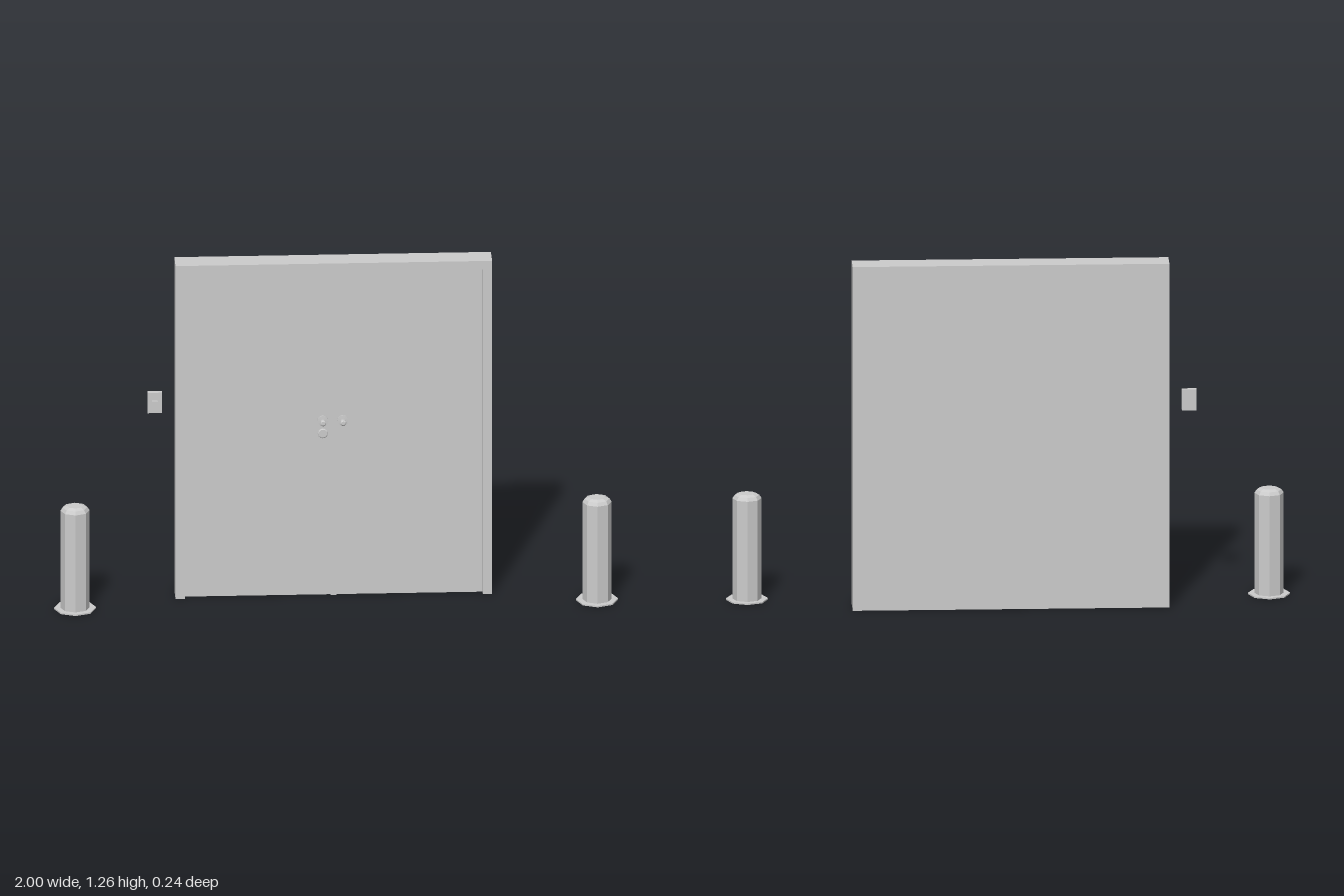
import * as THREE from 'three';

export function createModel() {
  const model = new THREE.Group();
  const mat = new THREE.MeshStandardMaterial({ color: 0xcccccc });
  const flat = new THREE.MeshStandardMaterial({ color: 0xcccccc, flatShading: true });

  const add = (parent, name, geo, x = 0, y = 0, z = 0, material = mat) => {
    const mesh = new THREE.Mesh(geo, material);
    mesh.name = name;
    mesh.position.set(x, y, z);
    parent.add(mesh);
    return mesh;
  };
  // Box given by its limits on each axis
  const box = (parent, name, x0, x1, y0, y1, z0, z1) =>
    add(parent, name, new THREE.BoxGeometry(x1 - x0, y1 - y0, z1 - z0),
      (x0 + x1) / 2, (y0 + y1) / 2, (z0 + z1) / 2);
  // Turned part whose axis points to the front
  const turned = (parent, name, points, x, y, z) => {
    const profile = points.map(([r, h]) => new THREE.Vector2(r, h));
    const geo = new THREE.LatheGeometry(profile, 12).rotateX(Math.PI / 2);
    return add(parent, name, geo, x, y, z, flat);
  };

  const L = -0.565, R = 0.557, H = 1.26, trim = 0.033;
  const back = -0.122, face = -0.055, front = -0.032, mid = (L + R) / 2;

  // Door frame: an inverted U, as deep as the whole unit
  const door = new THREE.Group();
  door.name = 'doubleDoor';
  model.add(door);
  const u = new THREE.Shape([
    [L, 0], [L + trim, 0], [L + trim, H - trim], [R - trim, H - trim],
    [R - trim, 0], [R, 0], [R, H], [L, H],
  ].map(([x, y]) => new THREE.Vector2(x, y)));
  add(door, 'doorFrame',
    new THREE.ExtrudeGeometry(u, { depth: front - back, bevelEnabled: false }), 0, 0, back);

  // Recessed leaves and the cover strip between them
  box(door, 'rightLeaf', L + trim, mid, 0, H - trim, back, face);
  box(door, 'leftLeaf', mid, R - trim, 0, H - trim, back, face);
  box(door, 'coverStrip', mid - 0.011, mid + 0.011, 0, H - trim, face, face + 0.007);

  // Knobs on both leaves, with a lock below the right one
  const knob = [[0.02, 0], [0.02, 0.004], [0.006, 0.005], [0.006, 0.014],
    [0.011, 0.018], [0.011, 0.028], [0.007, 0.031], [0, 0.031]];
  for (const x of [-0.042, 0.029]) turned(door, 'doorKnob', knob, x, 0.657, face);
  turned(door, 'lock', [[0.018, 0], [0.018, 0.004], [0.015, 0.006], [0, 0.006]], -0.042, 0.61, face);

  // Wall switch beside the door
  const control = new THREE.Group();
  control.name = 'wallSwitch';
  model.add(control);
  box(control, 'switchPlate', -0.664, -0.612, 0.703, 0.78, -0.054, -0.037);
  box(control, 'switchButton', -0.648, -0.628, 0.731, 0.751, -0.038, -0.025);

  // Octagonal bollards with a stepped cap and a flat foot
  const post = [[0, 0.004], [0.052, 0.004], [0.052, 0.372], [0.044, 0.384], [0.029, 0.39], [0, 0.39]]
    .map(([r, y]) => new THREE.Vector2(r, y));
  for (const side of [-1, 1]) {
    const bollard = new THREE.Group();
    bollard.name = side > 0 ? 'leftBollard' : 'rightBollard';
    bollard.position.set(side * 0.925, 0, 0.047);
    add(bollard, 'post', new THREE.LatheGeometry(post, 8), 0, 0, 0, flat);
    add(bollard, 'foot', new THREE.CylinderGeometry(0.075, 0.075, 0.005, 8), 0, 0.0025, 0, flat);
    model.add(bollard);
  }
  return model;
}
